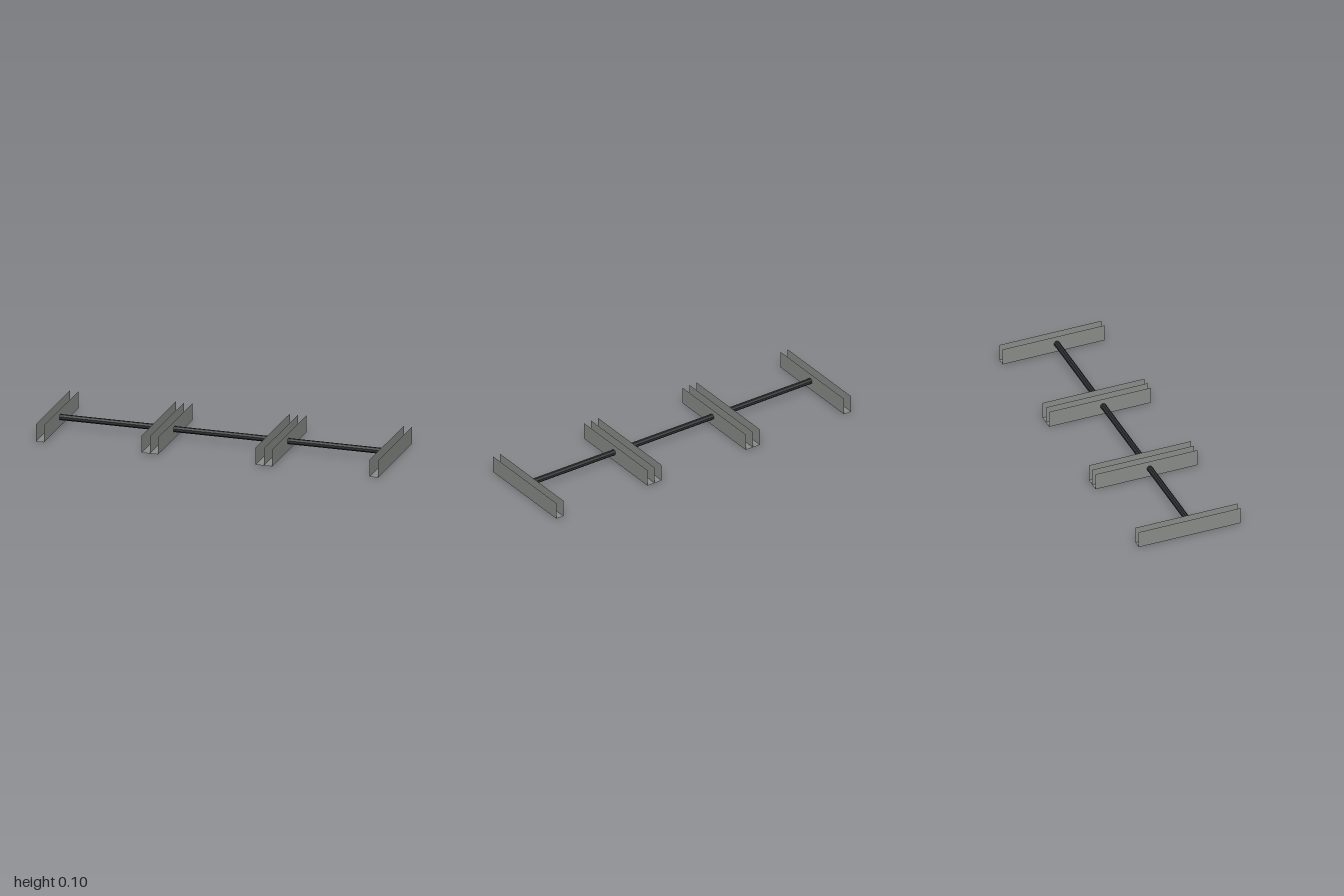
import * as THREE from 'three';

const H = 0.1, D = 0.615, WALL = 0.048;

export function createModel() {
  const model = new THREE.Group();
  model.name = 'channelRack';
  const steel = new THREE.MeshStandardMaterial({ color: 0x8b8d8b, side: THREE.DoubleSide });
  steel.name = 'grey steel';
  const dark = new THREE.MeshStandardMaterial({ color: 0x2b3231, side: THREE.DoubleSide, flatShading: true });
  dark.name = 'dark rod';

  const add = (parent, name, geometry, material, x, y, z) => {
    const mesh = new THREE.Mesh(geometry, material);
    mesh.name = name;
    mesh.position.set(x, y, z);
    parent.add(mesh);
  };

  // Open-topped sheet channel: a floor with upright walls at the given x
  const channel = (name, walls) => {
    const group = new THREE.Group();
    group.name = name;
    const x0 = walls[0], x1 = walls[walls.length - 1];
    add(group, 'floor', new THREE.PlaneGeometry(x1 - x0, D).rotateX(-Math.PI / 2), steel, (x0 + x1) / 2, 0, 0);
    for (const x of walls) {
      add(group, 'wall', new THREE.PlaneGeometry(D, H).rotateY(Math.PI / 2), steel, x, H / 2, 0);
    }
    model.add(group);
  };
  const mid = 1 / 3;
  channel('rightEndChannel', [-1, -1 + WALL]);
  channel('rightDoubleChannel', [-mid - WALL, -mid, -mid + WALL]);
  channel('leftDoubleChannel', [mid - WALL, mid, mid + WALL]);
  channel('leftEndChannel', [1 - WALL, 1]);

  // Rods spanning the gaps between channels
  const span = 2 / 3 - 2 * WALL;
  for (const x of [-2 / 3, 0, 2 / 3]) {
    const rod = new THREE.CylinderGeometry(0.017, 0.017, span, 8, 1, true)
      .rotateY(Math.PI / 8).rotateZ(Math.PI / 2);
    add(model, 'connectingRod', rod, dark, x, 0.055, 0.018);
  }
  return model;
}
